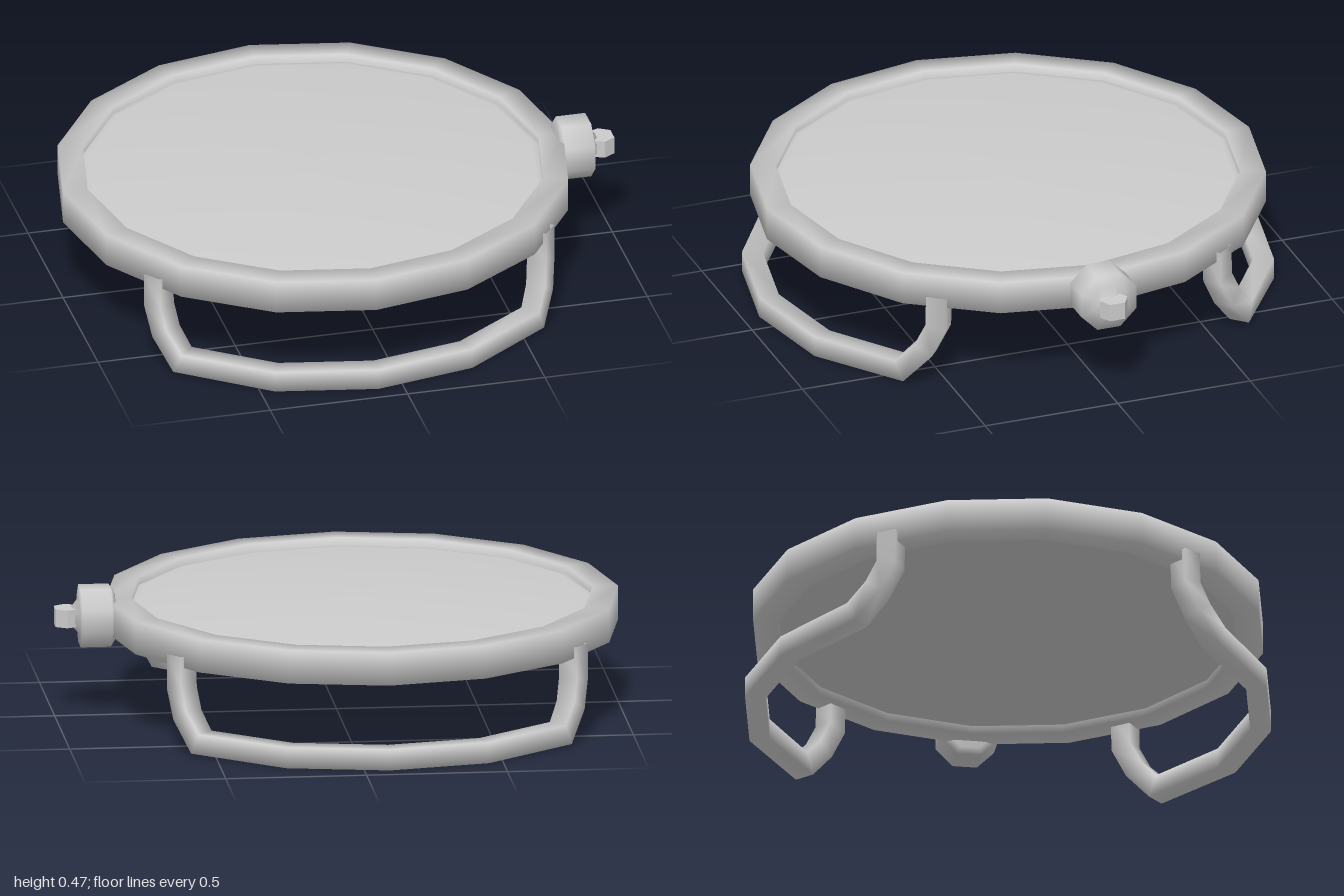
import * as THREE from 'three';

const SIDES = 16;      // facets of the round frame
const CX = -0.09;      // centre of the frame in x
const AXIS_Y = 0.36;   // mid height of the frame

const material = new THREE.MeshStandardMaterial({ color: 0xcccccc, side: THREE.DoubleSide });

function addMesh(parent, name, geometry) {
  const mesh = new THREE.Mesh(geometry, material);
  mesh.name = name;
  parent.add(mesh);
  return mesh;
}

function lathe(points, sides, start = 0) {
  return new THREE.LatheGeometry(points.map(([r, y]) => new THREE.Vector2(r, y)), sides, start);
}

// Square bar swept along a path, its sides kept facing away from the y axis
function sweepBar(path, halfWidth, halfHeight) {
  const positions = [], index = [];
  const last = path.length - 1;
  path.forEach((p, i) => {
    const before = p.clone().sub(path[Math.max(i - 1, 0)]).normalize();
    const after = path[Math.min(i + 1, last)].clone().sub(p).normalize();
    const t = before.clone().add(after).normalize();
    const miter = 1 / t.dot(i < last ? after : before);
    const n = new THREE.Vector3(p.x, 0, p.z).normalize();
    n.addScaledVector(t, -n.dot(t)).normalize();
    const b = new THREE.Vector3().crossVectors(t, n);
    for (const [u, v] of [[-1, -1], [1, -1], [1, 1], [-1, 1]]) {
      const c = p.clone().addScaledVector(n, u * halfWidth).addScaledVector(b, v * halfHeight * miter);
      positions.push(c.x, c.y, c.z);
    }
    if (i === last) return;
    for (let k = 0; k < 4; k++) {
      const a = i * 4 + k, d = i * 4 + (k + 1) % 4;
      index.push(a, d, a + 4, d, d + 4, a + 4);
    }
  });
  const geometry = new THREE.BufferGeometry();
  geometry.setAttribute('position', new THREE.Float32BufferAttribute(positions, 3));
  geometry.setIndex(index);
  geometry.computeVertexNormals();
  return geometry;
}

export function createModel() {
  const group = new THREE.Group();

  // Round frame with a rectangular section
  addMesh(group, 'frameRing', lathe(
    [[0.82, 0.36], [0.82, 0.3], [0.91, 0.3], [0.91, 0.42], [0.82, 0.42], [0.82, 0.36]], SIDES
  )).position.x = CX;

  // Slightly domed panel, the same above and below
  const dome = [[0, 0.07], [0.2, 0.068], [0.4, 0.06], [0.62, 0.048], [0.8, 0.032], [0.86, 0.026]];
  const lens = [
    ...dome.map(([r, h]) => [r, AXIS_Y - h]),
    ...dome.slice().reverse().map(([r, h]) => [r, AXIS_Y + h]),
  ];
  addMesh(group, 'domedPanel', lathe(lens, SIDES)).position.x = CX;

  // Curved feet: an arc on the ground that bends up into the frame at both ends
  const arc = [-2, -1, 0, 1, 2].map((k) => {
    const a = k * Math.PI / 8;
    return new THREE.Vector3(0.902 * Math.sin(a), Math.abs(k) === 2 ? 0.046 : 0.037, 0.902 * Math.cos(a));
  });
  const riser = [[0.68, 0.13, 0.57], [0.695, 0.22, 0.527], [0.695, 0.34, 0.525]];
  const path = [
    ...riser.slice().reverse().map(([x, y, z]) => new THREE.Vector3(-x, y, z)),
    ...arc,
    ...riser.map(([x, y, z]) => new THREE.Vector3(x, y, z)),
  ];
  for (const [name, turn] of [['frontFoot', 0], ['backFoot', Math.PI]]) {
    const foot = addMesh(group, name, sweepBar(path, 0.037, 0.037));
    foot.position.x = CX;
    foot.rotation.y = turn;
  }

  // Eight-sided knob on the left side
  const knob = new THREE.Group();
  knob.name = 'sideKnob';
  knob.position.y = AXIS_Y;
  group.add(knob);
  const hub = addMesh(knob, 'knobHub', lathe(
    [[0, 0.78], [0.09, 0.79], [0.113, 0.805], [0.113, 0.912], [0.065, 0.915], [0.035, 0.94], [0, 0.945]],
    8, Math.PI / 8
  ));
  hub.rotation.z = -Math.PI / 2;

  // Small six-sided tip
  const outline = [[0.92, -0.035], [0.96, -0.052], [1, -0.028], [1, 0.028], [0.96, 0.052], [0.92, 0.035]];
  const tipShape = new THREE.Shape(outline.map(([x, z]) => new THREE.Vector2(x, z)));
  const tip = addMesh(knob, 'knobTip', new THREE.ExtrudeGeometry(tipShape, { depth: 0.064, bevelEnabled: false }));
  tip.rotation.x = Math.PI / 2;
  tip.position.y = 0.032;

  return group;
}
